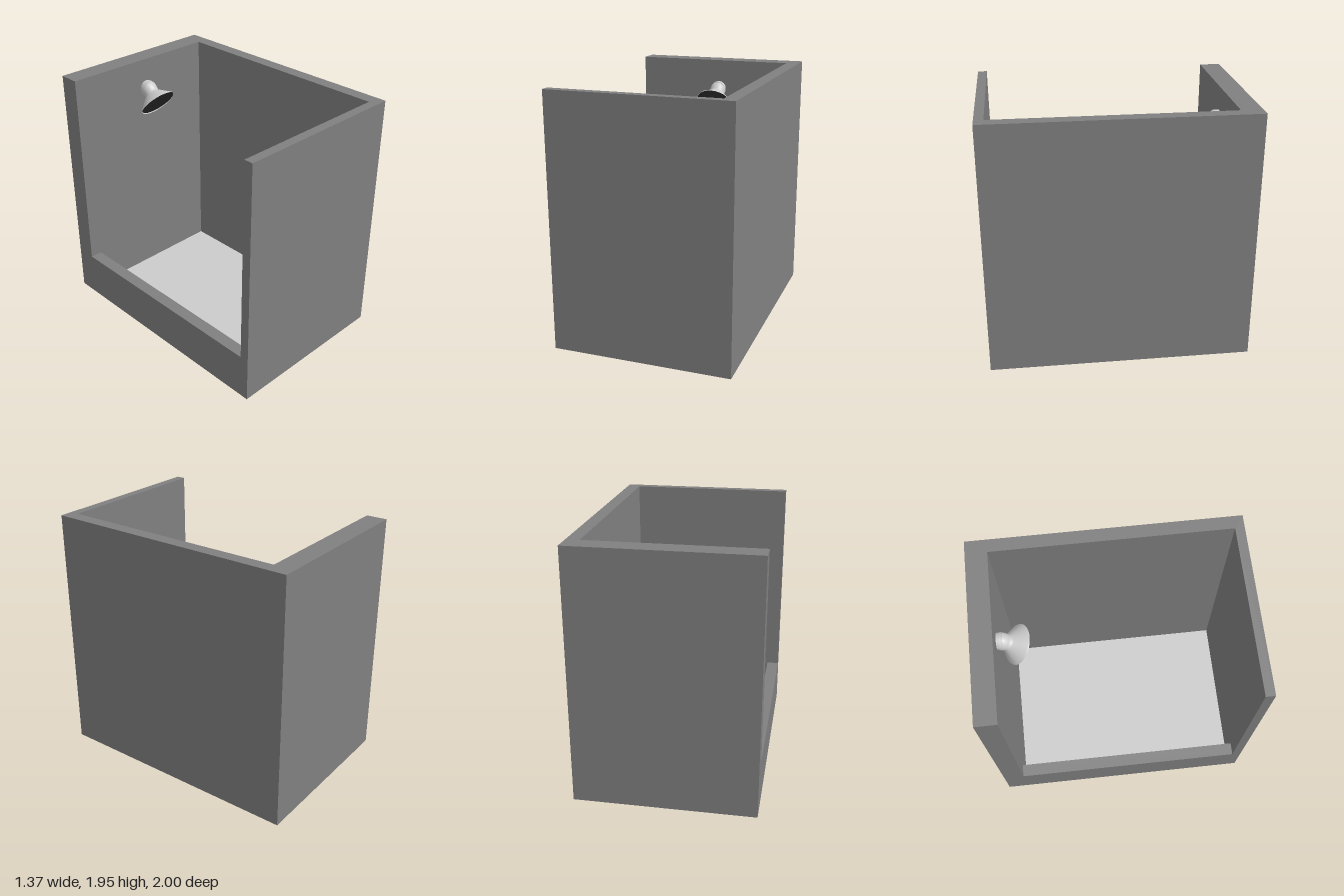
import * as THREE from 'three';

const W = 0.685, H = 1.95;                 // half width, wall height
const BACK = -0.84, FRONT = 0.93;          // inner faces of end walls
const LEFT = 0.585, CURB = -0.59;          // inner faces of side wall and curb

function box(name, x0, x1, y0, y1, z0, z1, material) {
  const mesh = new THREE.Mesh(new THREE.BoxGeometry(x1 - x0, y1 - y0, z1 - z0), material);
  mesh.position.set((x0 + x1) / 2, (y0 + y1) / 2, (z0 + z1) / 2);
  mesh.name = name;
  return mesh;
}

export function createModel() {
  const model = new THREE.Group();
  model.name = 'showerStall';
  const wallMaterial = new THREE.MeshStandardMaterial({ color: 0x808080 });
  const grey = new THREE.MeshStandardMaterial({ color: 0xcccccc });
  const chrome = new THREE.MeshStandardMaterial({ color: 0xcccccc, side: THREE.DoubleSide });
  const dark = new THREE.MeshStandardMaterial({ color: 0x303030 });

  // Three walls as one U-shaped plan, open towards -x
  const plan = new THREE.Shape([
    [-W, -1], [W, -1], [W, 1], [-W, 1],
    [-W, -BACK], [LEFT, -BACK], [LEFT, -FRONT], [-W, -FRONT],
  ].map(([x, y]) => new THREE.Vector2(x, y)));
  const walls = new THREE.Mesh(
    new THREE.ExtrudeGeometry(plan, { depth: H, bevelEnabled: false }), wallMaterial);
  walls.rotation.x = -Math.PI / 2;
  walls.name = 'walls';
  model.add(walls);

  // Low curb at the entrance, base slab and floor
  model.add(box('entranceCurb', -W, CURB, 0, 0.36, BACK, FRONT, wallMaterial));
  model.add(box('base', CURB, LEFT, 0, 0.03, BACK, FRONT, wallMaterial));
  model.add(box('floor', CURB, LEFT, 0.03, 0.05, BACK, FRONT, grey));

  // Shower head: flared bell with a rounded neck, tilted down from the back wall
  const head = new THREE.Group();
  head.name = 'showerHead';
  const profile = [
    [0.15, 0], [0.147, 0.01], [0.105, 0.05], [0.072, 0.083], [0.059, 0.097],
    [0.063, 0.115], [0.065, 0.14], [0.062, 0.165], [0.052, 0.19], [0.03, 0.209], [0, 0.216],
  ].map(([r, t]) => new THREE.Vector2(r, t));
  const bell = new THREE.Mesh(new THREE.LatheGeometry(profile, 40), chrome);
  bell.name = 'bell';
  const plate = new THREE.Mesh(new THREE.CircleGeometry(0.146, 40), dark);
  plate.rotation.x = Math.PI / 2;
  plate.position.y = 0.006;
  plate.name = 'sprayPlate';
  head.add(bell, plate);
  head.position.set(0, 1.61, -0.70);
  head.rotation.x = -50 * Math.PI / 180;
  model.add(head);

  // Short stub joining the neck to the wall
  const stub = new THREE.Mesh(new THREE.CylinderGeometry(0.06, 0.06, 0.05, 32), grey);
  stub.rotation.x = Math.PI / 2;
  stub.position.set(0, 1.71, BACK + 0.02);
  stub.name = 'wallStub';
  model.add(stub);

  return model;
}
